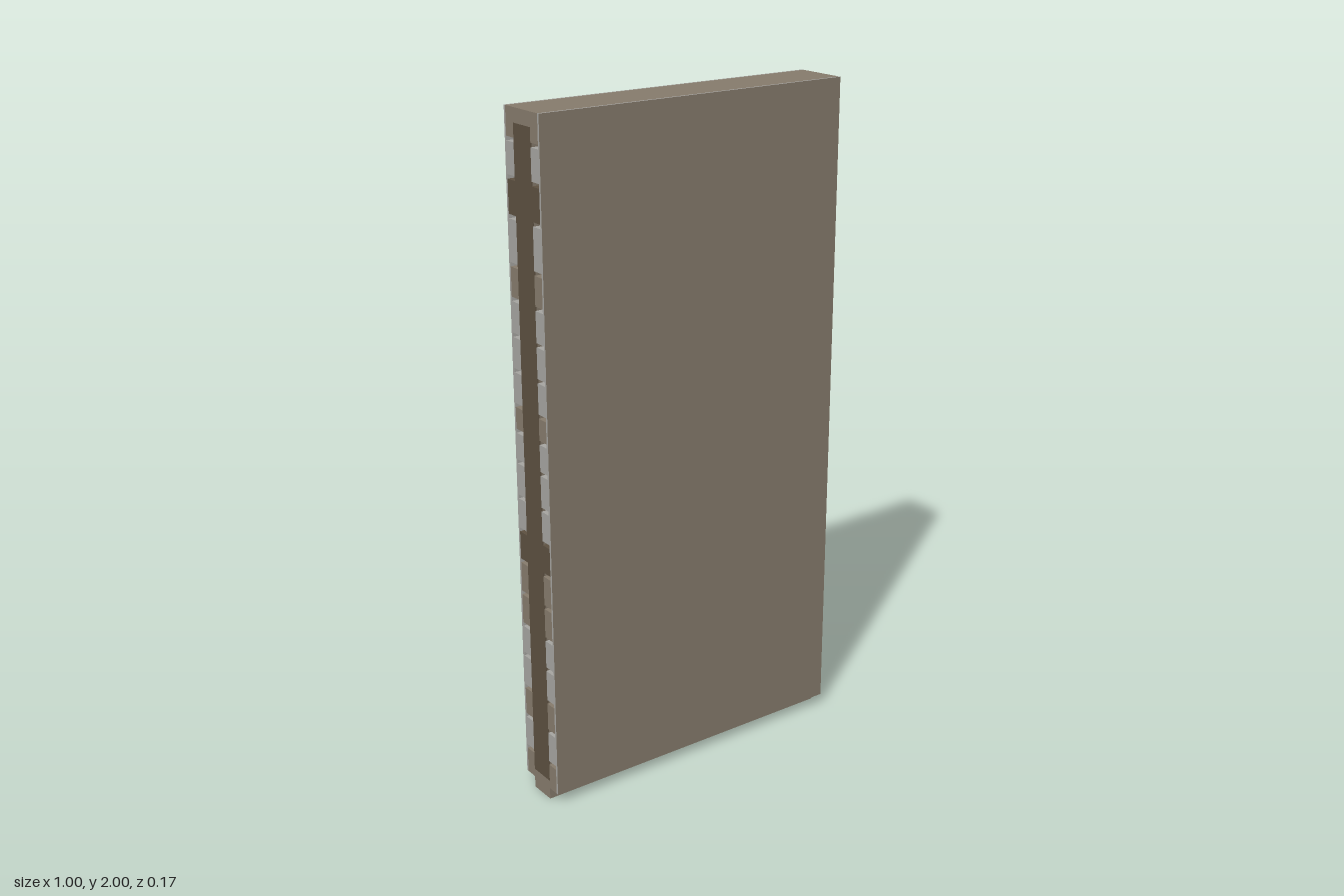
import * as THREE from 'three';

export function createModel() {
  const mat = (name, color) => {
    const m = new THREE.MeshStandardMaterial({ color });
    m.name = name;
    return m;
  };
  const tan = mat('tan', 0x857a6b);
  const grey = mat('grey', 0xa5a4a0);
  const dark = mat('darkBrown', 0x5c5040);

  const model = new THREE.Group();
  model.name = 'wallPanel';

  // Box given by its lower and upper corners
  const box = (name, material, [x0, y0, z0], [x1, y1, z1], parent = model) => {
    const mesh = new THREE.Mesh(new THREE.BoxGeometry(x1 - x0, y1 - y0, z1 - z0), material);
    mesh.position.set((x0 + x1) / 2, (y0 + y1) / 2, (z0 + z1) / 2);
    mesh.name = name;
    parent.add(mesh);
  };

  const W = 0.5, CORE = 0.041, SKIN = 0.077, OUT = 0.084, BASE = 0.035, GAP = 0.012;

  // Core slab, whose lower end forms the tongue
  box('core', tan, [-W + 0.003, 0, -CORE], [W, 2, CORE]);
  // Dark strip on the -x end of the core
  box('endStrip', dark, [-W, 0.06, -CORE], [-W + 0.003, 1.96, CORE]);
  box('endStripTop', tan, [-W, 1.96, -CORE], [-W + 0.003, 2, CORE]);
  box('endStripFoot', tan, [-W, 0, -CORE], [-W + 0.003, 0.06, CORE]);

  // Slot heights from top to bottom, and the colour of each slat between them
  const slots = [1.915, 1.815, 1.71, 1.58, 1.485, 1.385, 1.285, 1.185, 1.11, 1.02,
    0.915, 0.815, 0.72, 0.62, 0.52, 0.425, 0.32, 0.225, 0.12];
  const colours = 'tgdgtgggtgggdttggtgt';
  const palette = { t: tan, g: grey, d: dark };

  for (const side of [1, -1]) {
    const layer = new THREE.Group();
    layer.name = side > 0 ? 'frontLayer' : 'backLayer';
    model.add(layer);
    const span = (a, b) => (side > 0 ? [a, b] : [-b, -a]);

    // Slats running the full width, with open slots between
    const [z0, z1] = span(CORE, SKIN);
    [...colours].forEach((c, i) => {
      const top = i === 0 ? 2 : slots[i - 1] - GAP / 2;
      const bottom = i === slots.length ? BASE : slots[i] + GAP / 2;
      box('slat', palette[c], [-W, bottom, z0], [W, top, z1], layer);
    });

    // Facing sheet: tan outer face, grey edges
    const [s0, s1] = span(SKIN, OUT);
    const faces = [grey, grey, grey, grey, side > 0 ? tan : grey, side > 0 ? grey : tan];
    box('facingSheet', faces, [-W, BASE, s0], [W, 2, s1], layer);
  }
  return model;
}
